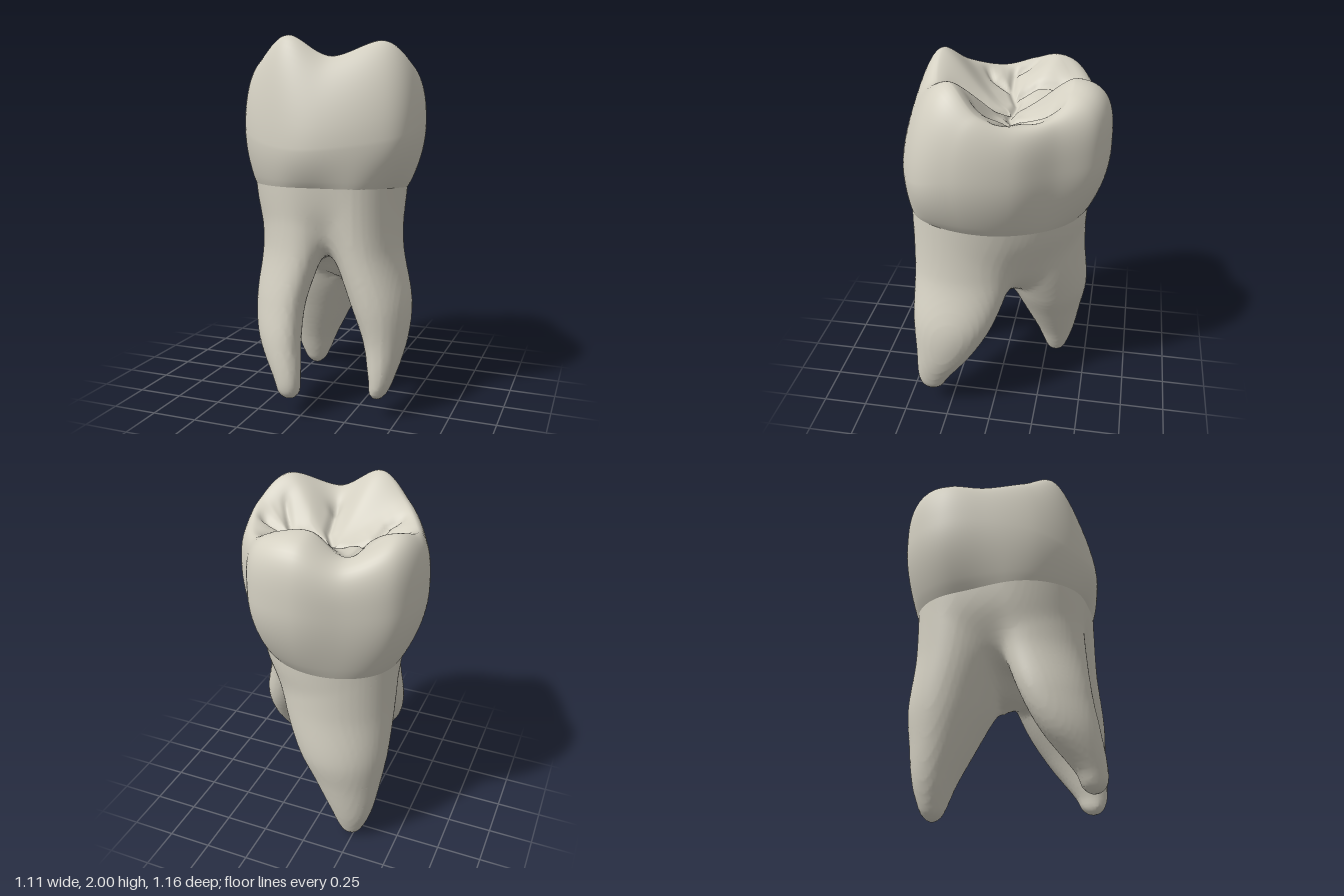
import * as THREE from 'three';

const enamel = new THREE.MeshStandardMaterial({ color: 0xd4d0c2 });
enamel.name = 'ivory';

// ---------- roots: elliptical limbs blended into one smooth skin ----------
// rows, from the tip up: y, centre x, centre z, radius 1, radius 2
const limbs = [
  { turn: Math.PI / 4, rows: [ // front right root
    [0.09, -0.06, 0.51, 0], [0.12, -0.06, 0.51, 0.055, 0.05], [0.2, -0.072, 0.505, 0.085, 0.07],
    [0.4, -0.145, 0.43, 0.16, 0.105], [0.6, -0.165, 0.365, 0.2, 0.12],
    [0.9, -0.125, 0.287, 0.24, 0.15], [1.35, -0.14, 0.23, 0.28, 0.19]] },
  { turn: 0, rows: [ // front left root
    [0.09, 0.38, 0.36, 0], [0.12, 0.385, 0.358, 0.04, 0.055], [0.2, 0.4, 0.345, 0.065, 0.09],
    [0.4, 0.4, 0.27, 0.115, 0.165], [0.6, 0.36, 0.22, 0.16, 0.23],
    [0.9, 0.265, 0.17, 0.185, 0.28], [1.35, 0.19, 0.125, 0.26, 0.34]] },
  { turn: 0, rows: [ // back root
    [-0.008, -0.23, -0.31, 0], [0.02, -0.23, -0.31, 0.048, 0.045], [0.08, -0.23, -0.31, 0.083, 0.075],
    [0.2, -0.225, -0.305, 0.13, 0.115], [0.4, -0.19, -0.28, 0.2, 0.175], [0.6, -0.15, -0.255, 0.265, 0.23],
    [0.9, -0.105, -0.2, 0.32, 0.265], [1.35, -0.105, -0.185, 0.335, 0.28]] },
  { turn: 0, rows: [ // trunk above the fork
    [0.65, 0.06, -0.01, 0], [0.69, 0.06, -0.01, 0.09, 0.09], [0.78, 0.05, -0.01, 0.18, 0.18],
    [0.92, 0.02, 0, 0.27, 0.28], [1.1, 0, 0, 0.36, 0.39], [1.35, 0, 0, 0.4, 0.43]] },
];

// smooth interpolation of the rows at height y
function sectionAt(rows, y) {
  let i = 0;
  while (i < rows.length - 2 && y > rows[i + 1][0]) i++;
  const val = (k, c) => rows[k][c] ?? 0;
  const slope = (k, c) => {
    const a = Math.max(k - 1, 0), b = Math.min(k + 1, rows.length - 1);
    return (val(b, c) - val(a, c)) / (rows[b][0] - rows[a][0]);
  };
  const h = rows[i + 1][0] - rows[i][0];
  const t = THREE.MathUtils.clamp((y - rows[i][0]) / h, 0, 1), t2 = t * t, t3 = t2 * t;
  return [1, 2, 3, 4].map((c) =>
    (2 * t3 - 3 * t2 + 1) * val(i, c) + (t3 - 2 * t2 + t) * h * slope(i, c) +
    (3 * t2 - 2 * t3) * val(i + 1, c) + (t3 - t2) * h * slope(i + 1, c));
}

function smoothMin(a, b, k) {
  const h = Math.max(k - Math.abs(a - b), 0) / k;
  return Math.min(a, b) - h * h * k / 4;
}

// signed distance to the blended limbs in the slice at height y
function sliceField(y) {
  const cuts = limbs.map((l) => ({
    s: sectionAt(l.rows, y), tip: l.rows[0][0], cos: Math.cos(l.turn), sin: Math.sin(l.turn) }));
  return (x, z) => cuts.reduce((f, { s, tip, cos, sin }) => {
    const dx = x - s[0], dz = z - s[1];
    const r1 = Math.max(s[2], 0.004), r2 = Math.max(s[3], 0.004);
    const q = Math.hypot((dx * cos + dz * sin) / r1, (dz * cos - dx * sin) / r2);
    return smoothMin(f, Math.max((q - 1) * Math.min(r1, r2), tip - y), 0.12);
  }, 1);
}

function rootGeometry() {
  const step = 0.02, n = [66, 66, 66], origin = [-0.65, -0.05, -0.65];
  const id = (i, j, k) => (j * n[2] + k) * n[0] + i;
  const field = new Float32Array(n[0] * n[1] * n[2]);
  for (let j = 0; j < n[1]; j++) {
    const slice = sliceField(origin[1] + j * step);
    for (let k = 0; k < n[2]; k++) for (let i = 0; i < n[0]; i++) {
      field[id(i, j, k)] = slice(origin[0] + i * step, origin[2] + k * step);
    }
  }
  // one vertex in each crossed cell, one quad round each crossed edge
  const pos = [], index = [], cell = new Int32Array(field.length).fill(-1);
  const axes = [[1, 0, 0], [0, 1, 0], [0, 0, 1]];
  for (let j = 0; j < n[1] - 1; j++) for (let k = 0; k < n[2] - 1; k++) for (let i = 0; i < n[0] - 1; i++) {
    const sum = [0, 0, 0];
    let hits = 0;
    for (let a = 0; a < 3; a++) for (let m = 0; m < 4; m++) {
      const p = [0, 0, 0];
      p[(a + 1) % 3] = m & 1;
      p[(a + 2) % 3] = m >> 1;
      const f0 = field[id(i + p[0], j + p[1], k + p[2])];
      const f1 = field[id(i + p[0] + axes[a][0], j + p[1] + axes[a][1], k + p[2] + axes[a][2])];
      if ((f0 < 0) === (f1 < 0)) continue;
      p[a] = f0 / (f0 - f1);
      p.forEach((v, c) => { sum[c] += v; });
      hits++;
    }
    if (!hits) continue;
    cell[id(i, j, k)] = pos.length / 3;
    [i, j, k].forEach((v, c) => pos.push(origin[c] + (v + sum[c] / hits) * step));
  }
  for (let j = 1; j < n[1] - 1; j++) for (let k = 1; k < n[2] - 1; k++) for (let i = 1; i < n[0] - 1; i++) {
    axes.forEach((e, a) => {
      const inside = field[id(i, j, k)] < 0;
      if (inside === field[id(i + e[0], j + e[1], k + e[2])] < 0) return;
      const b = axes[(a + 1) % 3], c = axes[(a + 2) % 3];
      const at = (u, v) => cell[id(i - u * b[0] - v * c[0], j - u * b[1] - v * c[1], k - u * b[2] - v * c[2])];
      const q = [at(1, 1), at(0, 1), at(0, 0), at(1, 0)];
      if (!inside) q.reverse();
      index.push(q[0], q[1], q[2], q[0], q[2], q[3]);
    });
  }
  return makeGeometry(pos, index);
}

function makeGeometry(pos, index) {
  const g = new THREE.BufferGeometry();
  g.setAttribute('position', new THREE.Float32BufferAttribute(pos, 3));
  g.setIndex(index);
  g.computeVertexNormals();
  return g;
}

// ---------- crown: wall from neck to crest, then the chewing surface ----------
const loop = (pts) => new THREE.CatmullRomCurve3(pts.map((p) => new THREE.Vector3(...p)), true, 'catmullrom', 0.5);
const crest = loop([[-0.12, 2, 0.345], [0.11, 1.89, 0.33], [0.35, 1.97, 0.2], [0.46, 1.85, 0.05],
  [0.41, 1.79, -0.12], [0.3, 1.8, -0.29], [0.15, 1.88, -0.37], [-0.02, 1.905, -0.375], [-0.21, 1.805, -0.37],
  [-0.405, 1.9, -0.25], [-0.468, 1.865, -0.11], [-0.42, 1.83, 0.06], [-0.3, 1.89, 0.24]]);
const girth = loop([[-0.15, 1.44, 0.505], [0.1, 1.43, 0.535], [0.455, 1.48, 0.39], [0.549, 1.54, 0.16],
  [0.5, 1.54, -0.12], [0.37, 1.54, -0.32], [0.23, 1.55, -0.52], [0, 1.56, -0.58], [-0.22, 1.55, -0.52],
  [-0.47, 1.56, -0.4], [-0.555, 1.57, -0.17], [-0.495, 1.56, 0.08], [-0.362, 1.5, 0.357]]);

// point on the root skin below a girth point, so crown and roots meet
function neckBelow(g) {
  const y = 1.195 + 0.03 * Math.sin(g.z * 2.5), slice = sliceField(y);
  let near = 0.2, far = 1.3;
  for (let i = 0; i < 24; i++) {
    const mid = (near + far) / 2;
    if (slice(g.x * mid, g.z * mid) < 0) near = mid; else far = mid;
  }
  return new THREE.Vector3(g.x * near, y, g.z * near);
}

// fissures as polylines of x, z
const fissures = [
  [[-0.38, 0], [-0.22, -0.01], [-0.1, -0.06], [0.05, -0.04], [0.2, -0.08], [0.4, -0.04]],
  [[0, -0.03], [0.06, 0.05], [0.08, 0.2]],
  [[-0.22, -0.4], [-0.22, -0.15], [-0.16, -0.04]],
  [[0.2, -0.33], [0.19, -0.25], [0.15, -0.08]],
  [[0.28, -0.22], [0.2, -0.08]],
  [[-0.43, -0.12], [-0.36, -0.01]],
  [[-0.32, 0.14], [-0.26, 0.1], [-0.22, -0.01]],
  [[0.22, -0.06], [0.32, 0.08]],
];
const pits = [[0.085, 0.2], [0.4, -0.04]];

function carve(x, z) {
  let d = 1;
  for (const f of fissures) for (let i = 1; i < f.length; i++) {
    const [ax, az] = f[i - 1], bx = f[i][0] - ax, bz = f[i][1] - az;
    const t = THREE.MathUtils.clamp(((x - ax) * bx + (z - az) * bz) / (bx * bx + bz * bz), 0, 1);
    d = Math.min(d, Math.hypot(x - ax - t * bx, z - az - t * bz));
  }
  let depth = 0.024 * Math.exp(-((d / 0.02) ** 2)) + 0.018 * Math.exp(-((d / 0.07) ** 2));
  for (const [px, pz] of pits) depth += 0.022 * Math.exp(-((Math.hypot(x - px, z - pz) / 0.032) ** 2));
  return depth;
}

function crownGeometry() {
  const around = 180, low = 12, high = 14, inner = 32, total = low + high + inner, pos = [], index = [];
  const middle = new THREE.Vector3(0, 1.72, -0.04), p = new THREE.Vector3();
  const columns = Array.from({ length: around }, (_, i) => {
    const g = girth.getPoint(i / around);
    return { g, c: crest.getPoint(i / around), neck: neckBelow(g) };
  });
  for (let r = 0; r <= total; r++) columns.forEach(({ g, c, neck }, i) => {
    if (r <= low) {
      const t = r / low;
      p.lerpVectors(neck, g, Math.sin(t * Math.PI / 2) ** 0.85).setY(neck.y + (g.y - neck.y) * t);
    } else if (r <= low + high) {
      const b = (r - low) / high * Math.PI / 2;
      const q = 1.15 - 0.75 * g.z; // fuller towards the back
      p.lerpVectors(g, c, (1 - Math.cos(b)) ** q).setY(g.y + (c.y - g.y) * Math.sin(b));
    } else {
      const u = (r - low - high) / inner, fall = Math.sin(u * Math.PI / 2) ** 1.5;
      p.lerpVectors(c, middle, u).setY(c.y + (middle.y - c.y) * fall);
      p.y -= carve(p.x, p.z) * Math.min(1, u * 5);
    }
    pos.push(p.x, p.y, p.z);
    if (r === total) return;
    const a = r * around + i, b = r * around + (i + 1) % around;
    index.push(a, b, b + around, a, b + around, a + around);
  });
  return makeGeometry(pos, index);
}

export function createModel() {
  const model = new THREE.Group();
  model.name = 'molar';
  for (const [name, geometry] of [['crown', crownGeometry()], ['roots', rootGeometry()]]) {
    const mesh = new THREE.Mesh(geometry, enamel);
    mesh.name = name;
    model.add(mesh);
  }
  return model;
}
